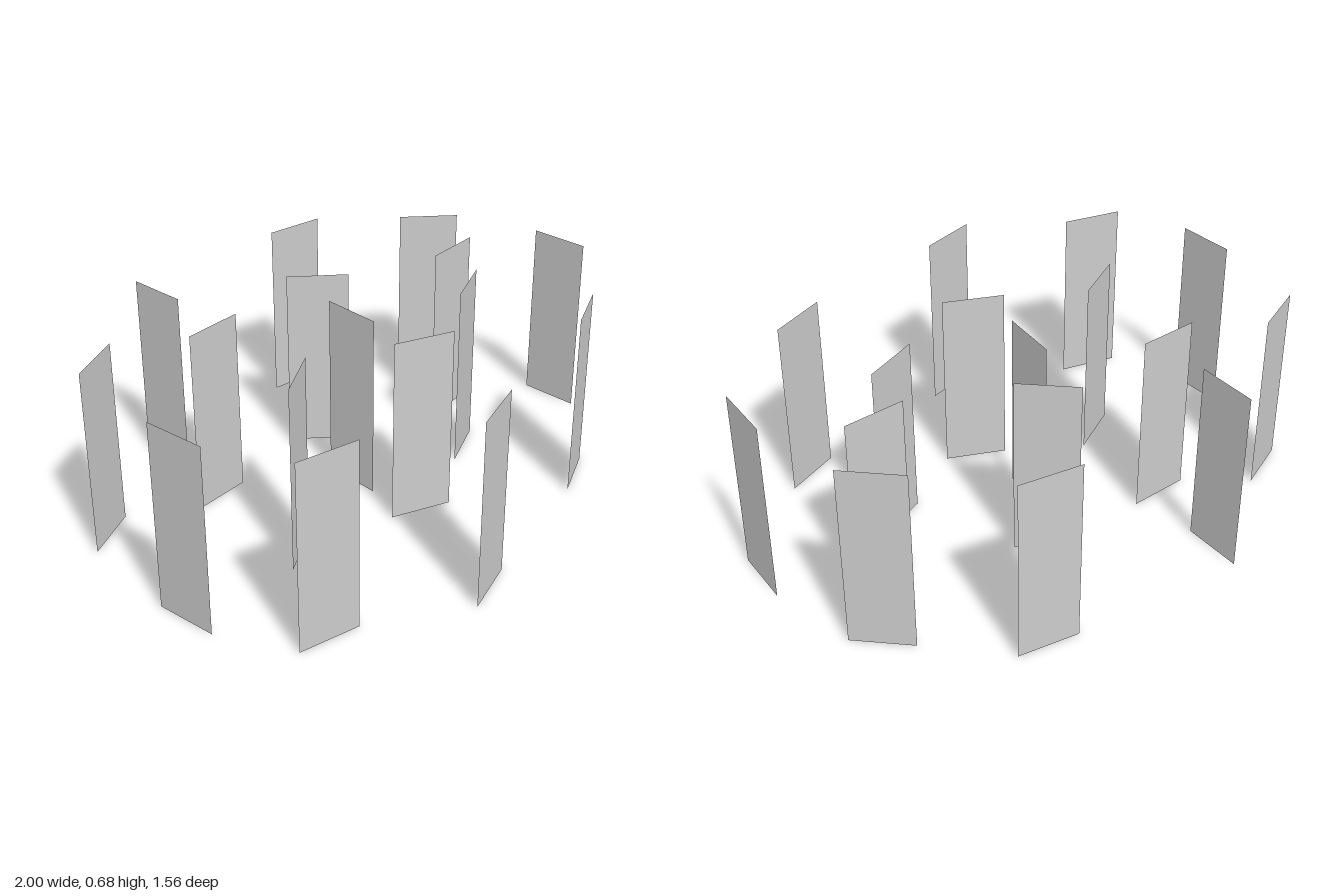
import * as THREE from 'three';

// Upright flat cards scattered over the ground: [x, z, yaw in degrees]
const CARDS = [
  // back row
  [-0.82, -0.436, 22.8], [-0.324, -0.667, 87], [0.44, -0.69, -10.5], [0.853, -0.345, -45.5],
  // inner back
  [-0.40, -0.314, 1], [0.135, -0.308, -45], [-0.018, -0.022, 82.5], [0.667, -0.088, 1.3],
  // inner front
  [-0.999, 0.11, 90], [-0.48, 0.138, 27.7], [-0.02, 0.298, -25], [0.44, 0.147, 21], [0.99, 0.181, 85.3],
  // front row
  [-0.784, 0.525, -15], [-0.247, 0.755, 14.5], [0.531, 0.588, 21],
];
const WIDTH = 0.227;
const HEIGHT = 0.683;

export function createModel() {
  const group = new THREE.Group();
  group.name = 'uprightCards';
  const material = new THREE.MeshStandardMaterial({ color: 0xcccccc, side: THREE.DoubleSide });

  // One shared panel with its foot on the ground
  const panel = new THREE.PlaneGeometry(WIDTH, HEIGHT).translate(0, HEIGHT / 2, 0);

  CARDS.forEach(([x, z, yaw], i) => {
    const card = new THREE.Mesh(panel, material);
    card.name = `card${i + 1}`;
    card.position.set(x, 0, z);
    card.rotation.y = THREE.MathUtils.degToRad(yaw);
    group.add(card);
  });
  return group;
}
